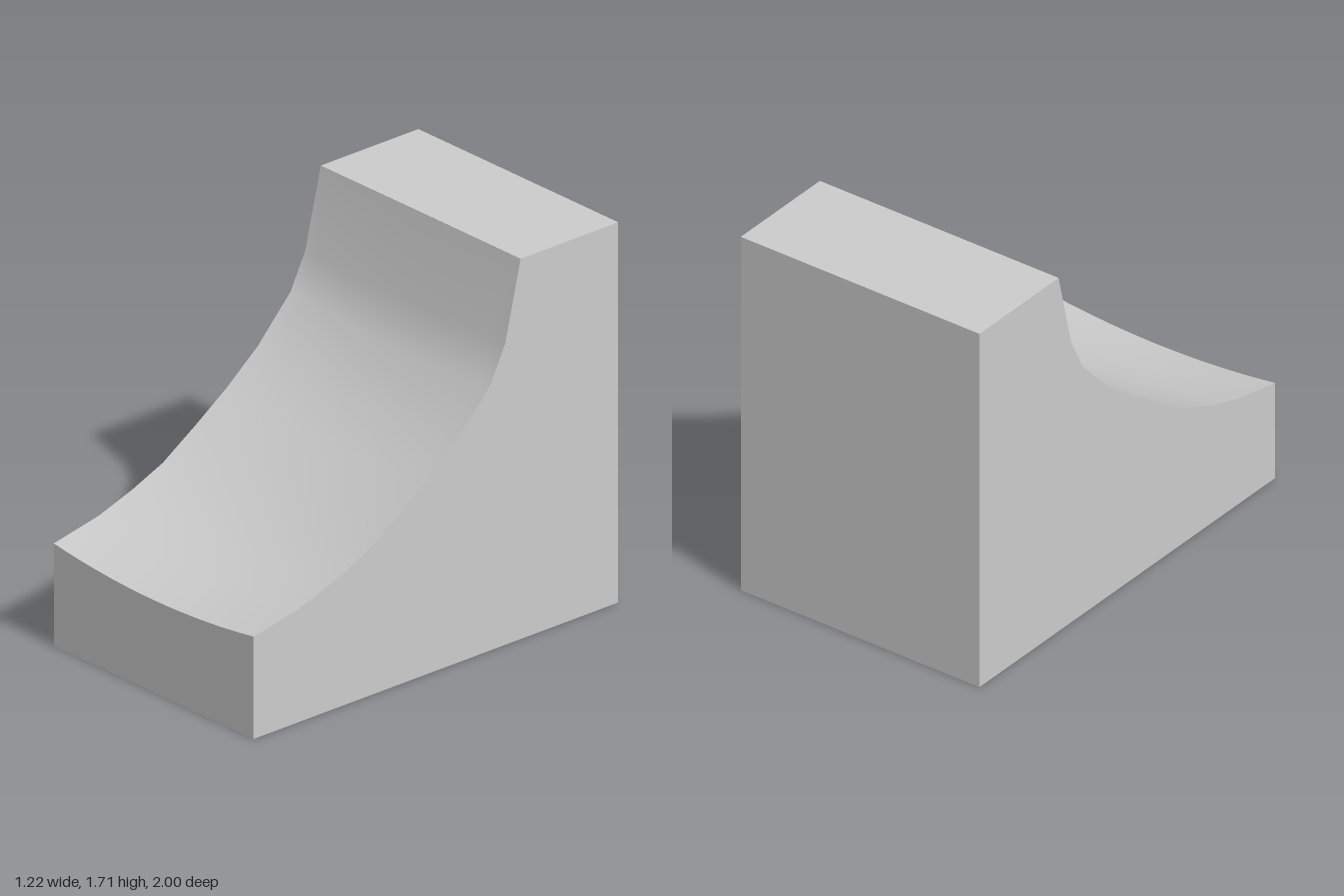
import * as THREE from 'three';
import { ParametricGeometry } from 'three/addons/geometries/ParametricGeometry.js';

const HALF = 0.612; // half width
const BASE = 0.005;
// Side profile of the slope, [z, y], from the front lip up to the top edge
const SLOPE = [[1, 0.465], [0.75, 0.515], [0.57, 0.575], [0.4, 0.645], [0.22, 0.76],
  [0.05, 0.875], [-0.12, 1.01], [-0.3, 1.2], [-0.38, 1.36], [-0.465, 1.715]];
const SIDE = [...SLOPE, [-1, 1.715]];

// Point at t (0..1) along a profile, one equal step per segment
function along(profile, t) {
  const s = t * (profile.length - 1);
  const i = Math.min(Math.floor(s + 1e-6), profile.length - 2);
  const f = s - i;
  return profile[i].map((a, k) => a + (profile[i + 1][k] - a) * f);
}

// The slope and its front lip are hollowed across the width, fading out at the top
function dip(x, z) {
  const depth = 0.045 * THREE.MathUtils.smoothstep(z, -0.5, -0.2);
  return depth * (1 - (x / HALF) ** 2);
}

export function createModel() {
  const group = new THREE.Group();
  const material = new THREE.MeshStandardMaterial({ color: 0xcccccc });
  const mix = THREE.MathUtils.lerp;

  function surface(name, nu, nv, point) {
    const geometry = new ParametricGeometry((u, v, target) => target.set(...point(u, v)), nu, nv);
    geometry.computeVertexNormals();
    const mesh = new THREE.Mesh(geometry, material);
    mesh.name = name;
    group.add(mesh);
  }

  // Curved, dished slope
  surface('slope', 16, SLOPE.length - 1, (u, v) => {
    const x = mix(-HALF, HALF, u);
    const [z, y] = along(SLOPE, v);
    return [x, y - dip(x, z), z];
  });

  // Low front wall under the dished lip
  surface('frontWall', 16, 1, (u, v) => {
    const x = mix(-HALF, HALF, u);
    return [x, mix(BASE, SLOPE[0][1] - dip(x, 1), v), 1];
  });

  // Flat walls
  surface('backWall', 1, 1, (u, v) => [mix(HALF, -HALF, u), mix(BASE, 1.715, v), -1]);
  surface('topLedge', 1, 1, (u, v) => [mix(-HALF, HALF, u), 1.715, mix(-0.465, -1, v)]);
  surface('underside', 1, 1, (u, v) => [mix(-HALF, HALF, u), BASE, mix(-1, 1, v)]);

  // Side walls following the profile
  for (const side of [1, -1]) {
    surface(side > 0 ? 'leftWall' : 'rightWall', SIDE.length - 1, 1, (u, v) => {
      const [z, y] = along(SIDE, side > 0 ? u : 1 - u);
      return [side * HALF, mix(BASE, y, v), z];
    });
  }
  return group;
}
